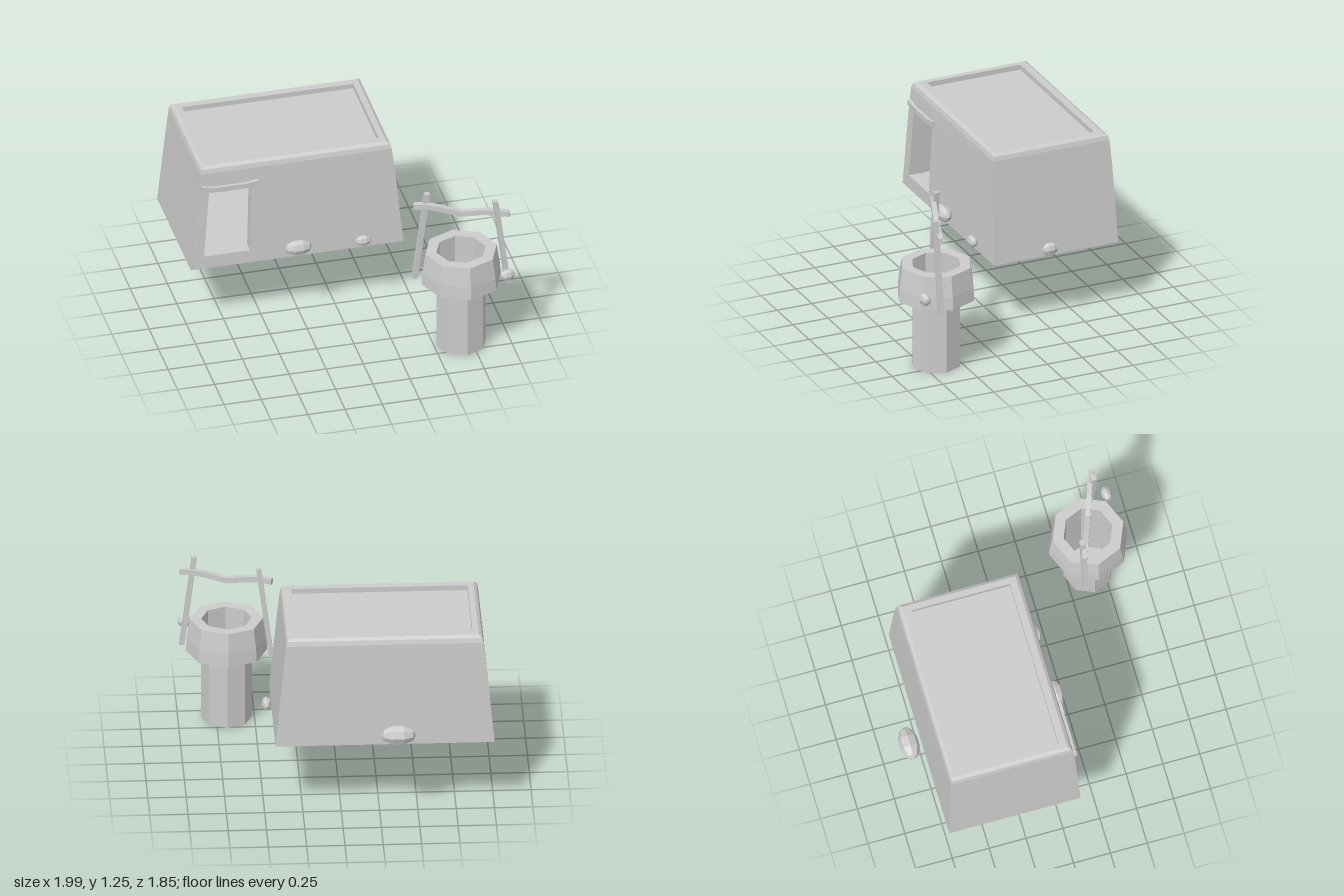
import * as THREE from 'three';

const material = new THREE.MeshStandardMaterial({ color: 0xcccccc, flatShading: true, side: THREE.DoubleSide });

function add(parent, name, geometry, x = 0, y = 0, z = 0) {
  const mesh = new THREE.Mesh(geometry, material);
  mesh.name = name;
  mesh.position.set(x, y, z);
  parent.add(mesh);
  return mesh;
}

// Closed loft through rectangular rings [y, half width, half depth];
// the first `openFront` bands leave out their front side.
function rectLoft(rings, openFront) {
  const pos = [];
  const corners = rings.map(([y, w, d]) => [[-w, y, d], [w, y, d], [w, y, -d], [-w, y, -d]]);
  const quad = (a, b, c, d) => pos.push(...a, ...b, ...c, ...a, ...c, ...d);
  for (let r = 0; r < corners.length - 1; r++) {
    for (let s = r < openFront ? 1 : 0; s < 4; s++) {
      const t = (s + 1) % 4;
      quad(corners[r][s], corners[r][t], corners[r + 1][t], corners[r + 1][s]);
    }
  }
  quad(...[...corners[0]].reverse());
  quad(...corners[corners.length - 1]);
  const g = new THREE.BufferGeometry();
  g.setAttribute('position', new THREE.Float32BufferAttribute(pos, 3));
  g.computeVertexNormals();
  return g;
}

// Square bar along x whose centre line follows the points [x, y].
function bentBar(points, height, depth) {
  const g = new THREE.BoxGeometry(1, height, depth, points.length - 1, 1, 1);
  const p = g.attributes.position;
  for (let i = 0; i < p.count; i++) {
    const [x, y] = points[Math.round((p.getX(i) + 0.5) * (points.length - 1))];
    p.setXY(i, x, p.getY(i) + y);
  }
  g.computeVertexNormals();
  return g;
}

function createHouse() {
  const house = new THREE.Group();
  house.name = 'house';
  house.position.set(-0.285, 0, -0.325);

  // Leaning walls, rounded parapet and sunken roof
  const outer = [
    [0.49, 0.715, 0.445], [1.02, 0.664, 0.426], [1.2, 0.645, 0.415],
    [1.23, 0.636, 0.406], [1.245, 0.615, 0.385],
    [1.245, 0.575, 0.335], [1.21, 0.575, 0.335],
  ];
  add(house, 'outerWallsAndRoof', rectLoft(outer, 2));
  add(house, 'roomInterior', rectLoft([[1.18, 0.575, 0.335], [0.58, 0.625, 0.361]], 1));

  // Front wall with the doorway, leaned back to match the other walls
  const lower = outer.slice(0, 3);
  const outline = [...lower.map(([y, w]) => [w, y]), ...lower.map(([y, w]) => [-w, y]).reverse()];
  const shape = new THREE.Shape(outline.map(([x, y]) => new THREE.Vector2(x, y)));
  const door = [[-0.625, 0.58], [-0.585, 1.085], [-0.3, 1.085], [-0.315, 0.58]];
  shape.holes.push(new THREE.Path(door.map(([x, y]) => new THREE.Vector2(x, y))));
  const wall = new THREE.ExtrudeGeometry(shape, { depth: 0.08, bevelEnabled: false });
  const p = wall.attributes.position;
  for (let i = 0; i < p.count; i++) {
    const y = p.getY(i);
    const k = y < 1.02 ? 0 : 1;
    const t = (y - lower[k][0]) / (lower[k + 1][0] - lower[k][0]);
    p.setZ(i, p.getZ(i) - 0.08 + THREE.MathUtils.lerp(lower[k][2], lower[k + 1][2], t));
  }
  wall.computeVertexNormals();
  add(house, 'frontWall', wall);

  // Sagging beam over the door
  const lintel = [[-0.64, 1.1], [-0.57, 1.085], [-0.46, 1.083], [-0.34, 1.084], [-0.26, 1.097]];
  add(house, 'doorLintel', bentBar(lintel, 0.035, 0.035), 0, 0, 0.426);
  return house;
}

function createWell() {
  const well = new THREE.Group();
  well.name = 'well';
  well.position.set(0.682, 0, 0.653);

  // Eight-sided hollow shaft with a thicker rim
  const profile = [
    [0, 0], [0.165, 0], [0.165, 0.49], [0.266, 0.49], [0.261, 0.58],
    [0.24, 0.72], [0.165, 0.72], [0.163, 0.01], [0, 0.01],
  ].map(([x, y]) => new THREE.Vector2(x, y));
  add(well, 'shaftAndRim', new THREE.LatheGeometry(profile, 8));

  // Two leaning posts
  for (const side of [-1, 1]) {
    const g = new THREE.BoxGeometry(0.034, 0.635, 0.034);
    const p = g.attributes.position;
    for (let i = 0; i < p.count; i++) p.setX(i, p.getX(i) - side * 0.13 * p.getY(i));
    g.computeVertexNormals();
    add(well, side < 0 ? 'rightPost' : 'leftPost', g, side * 0.246, 0.807, side * 0.097);
  }

  // Crooked crossbar laid diagonally across the posts
  const path = [[-0.31, 1.035], [-0.21, 1.04], [-0.12, 1.026], [0, 1.0], [0.14, 1.022], [0.22, 1.025], [0.32, 1.018]];
  const bar = add(well, 'crossbar', bentBar(path, 0.038, 0.034), 0, 0, -0.002);
  bar.rotation.y = -0.345;
  return well;
}

export function createModel() {
  const model = new THREE.Group();
  model.name = 'houseAndWell';
  model.add(createHouse(), createWell());

  // Faceted stones: position, then length, height, thickness and turn
  const stones = [
    [-0.287, 0.578, 0.157, 0.18, 0.112, 0.1, 0],
    [0.15, 0.556, 0.15, 0.105, 0.082, 0.065, 0],
    [0.465, 0.552, -0.265, 0.112, 0.092, 0.065, Math.PI / 2],
    [-0.367, 0.601, -0.863, 0.232, 0.14, 0.135, 0],
    [0.943, 0.605, 0.853, 0.102, 0.087, 0.07, 0.1],
  ];
  stones.forEach(([x, y, z, length, height, depth, turn], i) => {
    const g = new THREE.SphereGeometry(0.5, 8, 5).rotateZ(Math.PI / 2).scale(length, height, depth);
    add(model, `stone${i + 1}`, g, x, y, z).rotation.y = turn;
  });
  return model;
}
